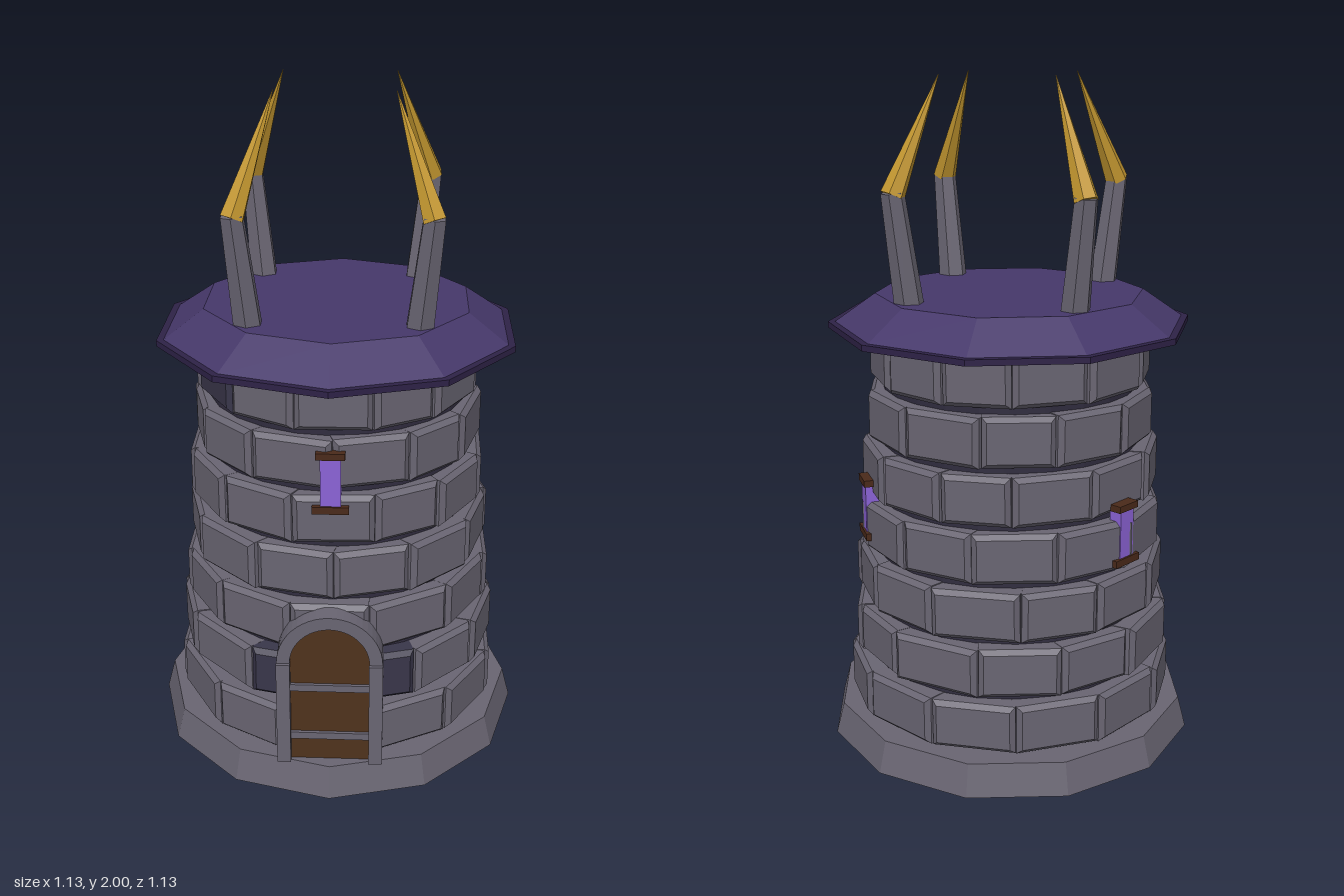
import * as THREE from 'three';
import { mergeGeometries } from 'three/addons/utils/BufferGeometryUtils.js';

const mat = (name, color) => {
  const m = new THREE.MeshStandardMaterial({ color });
  m.name = name;
  return m;
};

// Faceted copy of a geometry: one normal per face
const faceted = (geo) => {
  const g = geo.index ? geo.toNonIndexed() : geo;
  g.computeVertexNormals();
  return g;
};

const part = (parent, name, geo, material, x = 0, y = 0, z = 0) => {
  const m = new THREE.Mesh(faceted(geo), material);
  m.name = name;
  m.position.set(x, y, z);
  parent.add(m);
  return m;
};

// Tapered faceted limb between two points
const limb = (parent, name, a, b, r0, r1, sides, material) => {
  const dir = b.clone().sub(a);
  const m = part(parent, name, new THREE.CylinderGeometry(r1, r0, dir.length(), sides), material);
  m.position.copy(a).addScaledVector(dir, 0.5);
  m.quaternion.setFromUnitVectors(new THREE.Vector3(0, 1, 0), dir.normalize());
  return m;
};

// Chamfered stone block whose front face lies at z = front
const blockGeometry = (w, h, d, front, c = 0.014) => {
  const x = w / 2 - c, y = h / 2 - c;
  const s = new THREE.Shape([[-x, -y], [x, -y], [x, y], [-x, y]].map((p) => new THREE.Vector2(...p)));
  const g = new THREE.ExtrudeGeometry(s, {
    depth: d - 2 * c, bevelEnabled: true, bevelSize: c, bevelThickness: c, bevelSegments: 1,
  });
  return g.translate(0, 0, front - d + c);
};

// Round-topped outline standing on y = 0
const archShape = (r, straight, Kind = THREE.Shape) => {
  const s = new Kind();
  s.moveTo(-r, 0);
  s.lineTo(r, 0);
  s.lineTo(r, straight);
  s.absarc(0, straight, r, 0, Math.PI, false);
  s.lineTo(-r, 0);
  return s;
};

const extrude = (shape, depth) =>
  new THREE.ExtrudeGeometry(shape, { depth, bevelEnabled: false, curveSegments: 12 });

export function createModel() {
  const tower = new THREE.Group();
  tower.name = 'tower';
  const stone = mat('stone', 0x696572);
  const darkStone = mat('dark stone', 0x39364a);
  const mortar = mat('mortar', 0x2f2b3d);
  const purple = mat('roof purple', 0x46386a);
  const trim = mat('roof trim purple', 0x2e2247);
  const wood = mat('wood', 0x4f321c);
  const frameWood = mat('window wood', 0x4a2a1a);
  const glass = mat('window violet', 0x8b63d6);
  const gold = mat('gold', 0xc2962f);

  let seed = 11;
  const jitter = (amount) => {
    seed = (seed * 16807) % 2147483647;
    return (seed / 2147483647 - 0.5) * 2 * amount;
  };

  // Foundation and inner wall
  part(tower, 'base', new THREE.CylinderGeometry(0.54, 0.565, 0.095, 12), stone, 0, 0.0475);
  part(tower, 'innerWall', new THREE.CylinderGeometry(0.375, 0.445, 1.18, 24), mortar, 0, 0.68);

  // Seven courses of twelve blocks, every other course shifted by half a block
  const light = [], dark = [];
  const step = Math.PI / 6;
  for (let row = 0; row < 7; row++) {
    const radius = 0.484 - 0.0125 * row;
    const y = 0.178 + 0.168 * row;
    const edges = Array.from({ length: 12 }, (_, i) => (i - 0.5 + (row % 2) / 2) * step + jitter(0.03));
    edges.push(edges[0] + Math.PI * 2);
    for (let i = 0; i < 12; i++) {
      const width = 2 * radius * Math.tan((edges[i + 1] - edges[i]) / 2) - 0.012;
      const g = blockGeometry(width, 0.148 + jitter(0.003), 0.09, radius + jitter(0.005));
      g.rotateZ(jitter(0.012));
      g.rotateY((edges[i] + edges[i + 1]) / 2);
      g.translate(0, y, 0);
      const isDark = (row === 1 && (i === 0 || i === 11)) || (row === 6 && i === 10);
      (isDark ? dark : light).push(g);
    }
  }
  part(tower, 'wallBlocks', mergeGeometries(light), stone);
  part(tower, 'darkWallBlocks', mergeGeometries(dark), darkStone);

  // Roof: thin dark rim with a sloped slab on top
  part(tower, 'roofRim', new THREE.CylinderGeometry(0.54, 0.54, 0.018, 10), trim, 0, 1.273);
  part(tower, 'roofSlab', new THREE.CylinderGeometry(0.4, 0.522, 0.085, 10), purple, 0, 1.3225);

  // Four bent horns, one toward each diagonal
  for (const sx of [-1, 1]) {
    for (const sz of [-1, 1]) {
      const horn = new THREE.Group();
      horn.name = 'horn';
      const at = (r, y) => new THREE.Vector3(sx * r, y, sz * r);
      limb(horn, 'hornShaft', at(0.238, 1.34), at(0.272, 1.68), 0.044, 0.034, 6, stone);
      limb(horn, 'hornTip', at(0.272, 1.67), at(0.165, 1.995), 0.036, 0.001, 6, gold);
      tower.add(horn);
    }
  }

  // Arched door with stone surround and straps
  const door = new THREE.Group();
  door.name = 'door';
  door.position.set(0, 0.095, 0);
  part(door, 'doorLeaf', extrude(archShape(0.12, 0.335), 0.08), wood, 0, 0, 0.418);
  const arch = new THREE.Shape();
  arch.absarc(0, 0, 0.153, 0, Math.PI, false);
  arch.absarc(0, 0, 0.115, Math.PI, 0, true);
  part(door, 'doorArch', extrude(arch, 0.09), stone, 0, 0.335, 0.422);
  for (const s of [-1, 1]) {
    part(door, 'doorPost', new THREE.BoxGeometry(0.04, 0.335, 0.09), stone, s * 0.134, 0.1675, 0.478);
  }
  for (const y of [0.085, 0.25]) {
    part(door, 'doorStrap', new THREE.BoxGeometry(0.228, 0.022, 0.012), stone, 0, y, 0.502);
  }
  tower.add(door);

  // Three slit windows a third of a turn apart
  [[0, 0.97, 0.438], [1, 0.735, 0.456], [2, 0.715, 0.457]].forEach(([turn, y, r]) => {
    const w = new THREE.Group();
    w.name = 'window';
    w.rotation.y = (turn * Math.PI * 2) / 3;
    w.position.y = y;
    part(w, 'windowPane', new THREE.BoxGeometry(0.058, 0.16, 0.04), glass, 0, 0, r - 0.018);
    part(w, 'windowLintel', new THREE.BoxGeometry(0.082, 0.02, 0.05), frameWood, 0, 0.082, r - 0.017);
    part(w, 'windowSill', new THREE.BoxGeometry(0.104, 0.022, 0.05), frameWood, 0, -0.082, r - 0.017);
    tower.add(w);
  });

  return tower;
}
